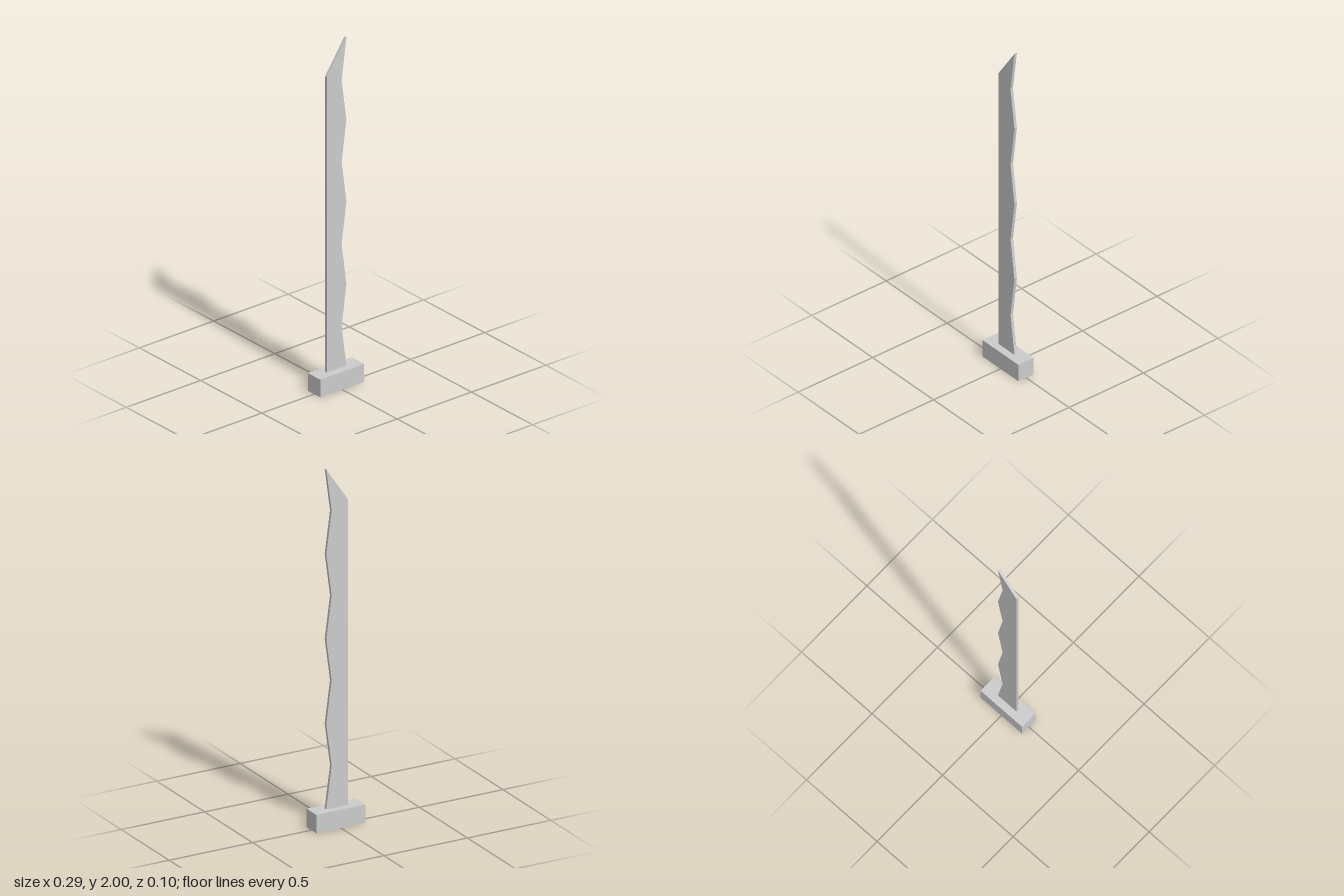
import * as THREE from 'three';

const BASE_HEIGHT = 0.103;
const BLADE_DEPTH = 0.017;

export function createModel() {
  const group = new THREE.Group();
  const material = new THREE.MeshStandardMaterial({ color: 0xcccccc, flatShading: true });

  // Rectangular guard block at the foot of the blade
  const guard = new THREE.Mesh(new THREE.BoxGeometry(0.295, BASE_HEIGHT, 0.102), material);
  guard.name = 'guard';
  guard.position.y = BASE_HEIGHT / 2;
  group.add(guard);

  // Flat blade: straight back, slanted tip, zigzag edge
  const steps = 8;
  const outline = new THREE.Shape();
  outline.moveTo(-0.067, BASE_HEIGHT);
  for (let i = 0; i <= steps; i++) {
    const y = BASE_HEIGHT + ((2 - BASE_HEIGHT) * i) / steps;
    outline.lineTo(i % 2 ? 0.031 : 0.063, y);
  }
  outline.lineTo(-0.067, 1.81);
  outline.closePath();

  const bladeGeometry = new THREE.ExtrudeGeometry(outline, { depth: BLADE_DEPTH, bevelEnabled: false });
  bladeGeometry.translate(0, 0, -BLADE_DEPTH / 2);
  const blade = new THREE.Mesh(bladeGeometry, material);
  blade.name = 'blade';
  group.add(blade);

  return group;
}
